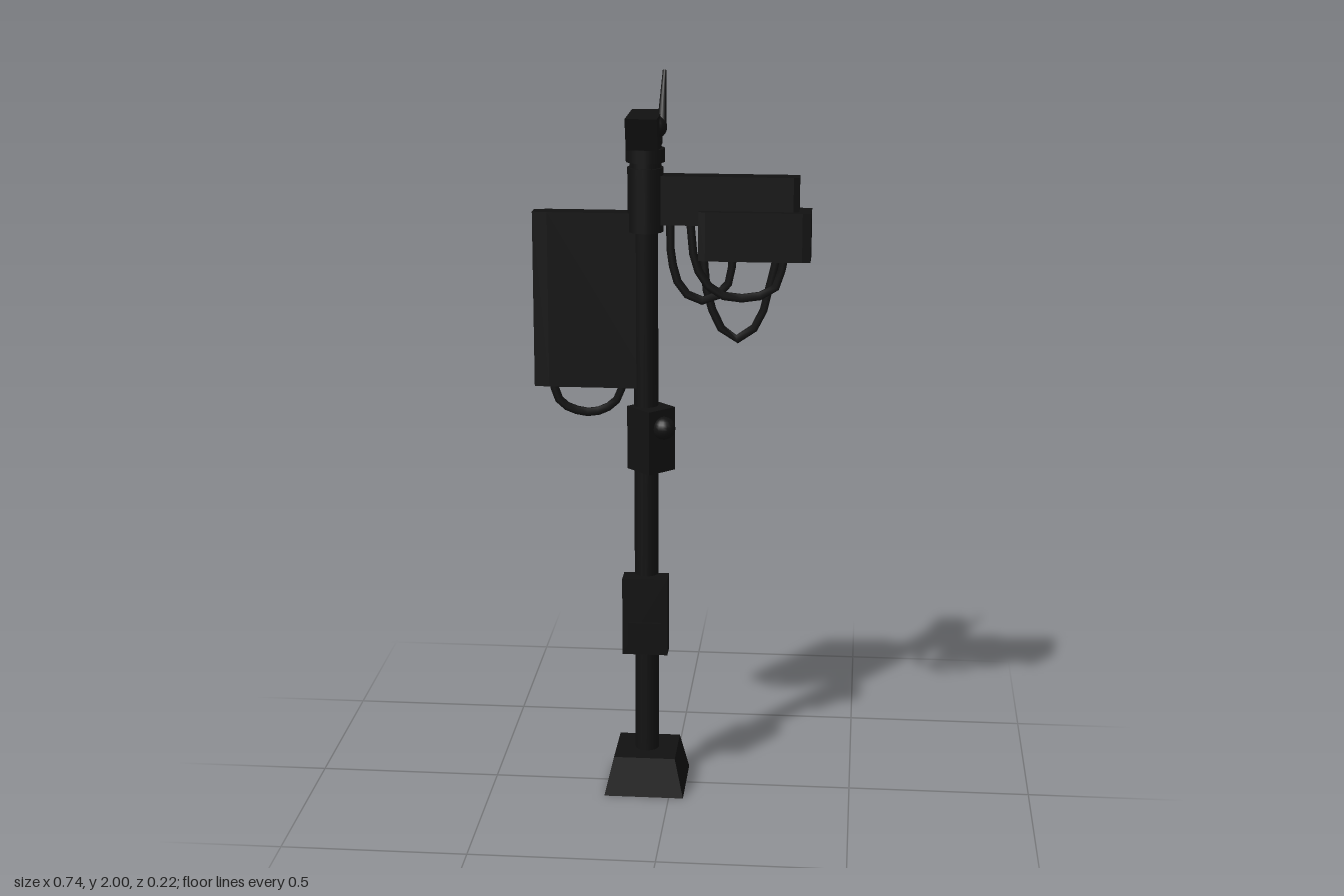
import * as THREE from 'three';

const POLE_X = -0.07;

export function createModel() {
  const model = new THREE.Group();
  const flat = new THREE.MeshStandardMaterial({ color: 0x111111, flatShading: true });
  const smooth = new THREE.MeshStandardMaterial({ color: 0x111111 });

  function add(name, geometry, x = 0, y = 0, z = 0, material = flat) {
    const mesh = new THREE.Mesh(geometry, material);
    mesh.name = name;
    mesh.position.set(x, y, z);
    model.add(mesh);
    return mesh;
  }
  // Box given by its min and max corners
  function box(name, [x0, y0, z0], [x1, y1, z1]) {
    return add(name, new THREE.BoxGeometry(x1 - x0, y1 - y0, z1 - z0),
      (x0 + x1) / 2, (y0 + y1) / 2, (z0 + z1) / 2);
  }
  // Upright cylinder around the pole axis
  function ring(name, rTop, rBottom, y0, y1, sides = 16) {
    return add(name, new THREE.CylinderGeometry(rTop, rBottom, y1 - y0, sides),
      POLE_X, (y0 + y1) / 2, 0, smooth);
  }
  // Upright prism over an outline of [x, z] points
  function prism(name, outline, y0, y1) {
    const shape = new THREE.Shape(outline.map(([x, z]) => new THREE.Vector2(x, -z)));
    const g = new THREE.ExtrudeGeometry(shape, { depth: y1 - y0, bevelEnabled: false });
    g.rotateX(-Math.PI / 2);
    return add(name, g, 0, y0, 0);
  }
  // Hanging cable through [x, y] points at depth z
  function cable(name, points, z, radius = 0.012) {
    const curve = new THREE.CatmullRomCurve3(points.map(([x, y]) => new THREE.Vector3(x, y, z)));
    return add(name, new THREE.TubeGeometry(curve, 10, radius, 6), 0, 0, 0, smooth);
  }

  // Square tapered foot
  const foot = new THREE.CylinderGeometry(0.085 * Math.SQRT2, 0.11 * Math.SQRT2, 0.107, 4);
  foot.rotateY(Math.PI / 4);
  add('base', foot, POLE_X, 0.0535, 0);

  // Pole, sleeve and collar
  ring('pole', 0.033, 0.033, 0.1, 1.6);
  ring('sleeve', 0.048, 0.048, 1.58, 1.75);
  ring('neck', 0.042, 0.042, 1.74, 1.82);
  ring('collar', 0.052, 0.052, 1.765, 1.8);

  // Lower control box with raised cover
  box('controlBox', [-0.132, 0.405, 0], [-0.008, 0.625, 0.058]);
  box('controlCover', [-0.115, 0.43, 0.05], [-0.025, 0.5, 0.067]);

  // Turned sensor box with a round lens
  const sensor = add('sensorBox', new THREE.BoxGeometry(0.092, 0.175, 0.092), -0.055, 1.017, 0.016);
  sensor.rotation.y = Math.PI / 4;
  add('sensorLens', new THREE.SphereGeometry(0.031, 16, 12), -0.017, 1.055, 0.054, smooth);

  // Flat panel with chamfered outer edge
  prism('sidePanel', [[-0.05, 0.022], [-0.05, -0.029], [-0.33, -0.029], [-0.37, -0.023],
    [-0.37, 0.018], [-0.33, 0.022]], 1.155, 1.63);
  cable('panelCable', [[-0.325, 1.17], [-0.3, 1.105], [-0.22, 1.08], [-0.155, 1.11], [-0.13, 1.17]], -0.003);

  // Arm and the wider housing slung on it
  prism('arm', [[-0.06, 0.023], [0.32, 0.023], [0.335, 0.019], [0.335, -0.025], [0.32, -0.029],
    [-0.06, -0.029]], 1.6, 1.73);
  prism('armHousing', [[0.072, 0.04], [0.09, 0.045], [0.345, 0.045], [0.367, 0.041],
    [0.367, -0.047], [0.072, -0.047]], 1.51, 1.64);
  cable('innerCable', [[-0.005, 1.62], [0, 1.5], [0.03, 1.42], [0.09, 1.395], [0.148, 1.44], [0.162, 1.53]], 0);
  cable('middleCable', [[0.048, 1.62], [0.065, 1.49], [0.11, 1.425], [0.17, 1.405], [0.27, 1.43], [0.3, 1.53]], 0.008);
  cable('outerCable', [[0.08, 1.53], [0.1, 1.38], [0.16, 1.285], [0.225, 1.325], [0.255, 1.42], [0.28, 1.53]], -0.025);

  // Head with sloping front and back
  const profile = new THREE.Shape([[0.108, 1.89], [-0.085, 1.89], [-0.055, 1.805], [0.08, 1.805]]
    .map(([z, y]) => new THREE.Vector2(-z, y)));
  const head = new THREE.ExtrudeGeometry(profile, { depth: 0.083, bevelEnabled: false });
  head.rotateY(Math.PI / 2);
  add('head', head, -0.113, 0, 0);
  add('antennaJoint', new THREE.SphereGeometry(0.032, 16, 12), -0.044, 1.857, 0.008, smooth);

  // Antenna leaning back
  const foot0 = new THREE.Vector3(-0.026, 1.855, 0.012);
  const tip = new THREE.Vector3(-0.023, 1.998, -0.042);
  const lean = tip.clone().sub(foot0);
  const antenna = add('antenna', new THREE.CylinderGeometry(0.005, 0.013, lean.length(), 8), 0, 0, 0, smooth);
  antenna.position.copy(foot0).lerp(tip, 0.5);
  antenna.quaternion.setFromUnitVectors(new THREE.Vector3(0, 1, 0), lean.normalize());

  return model;
}
